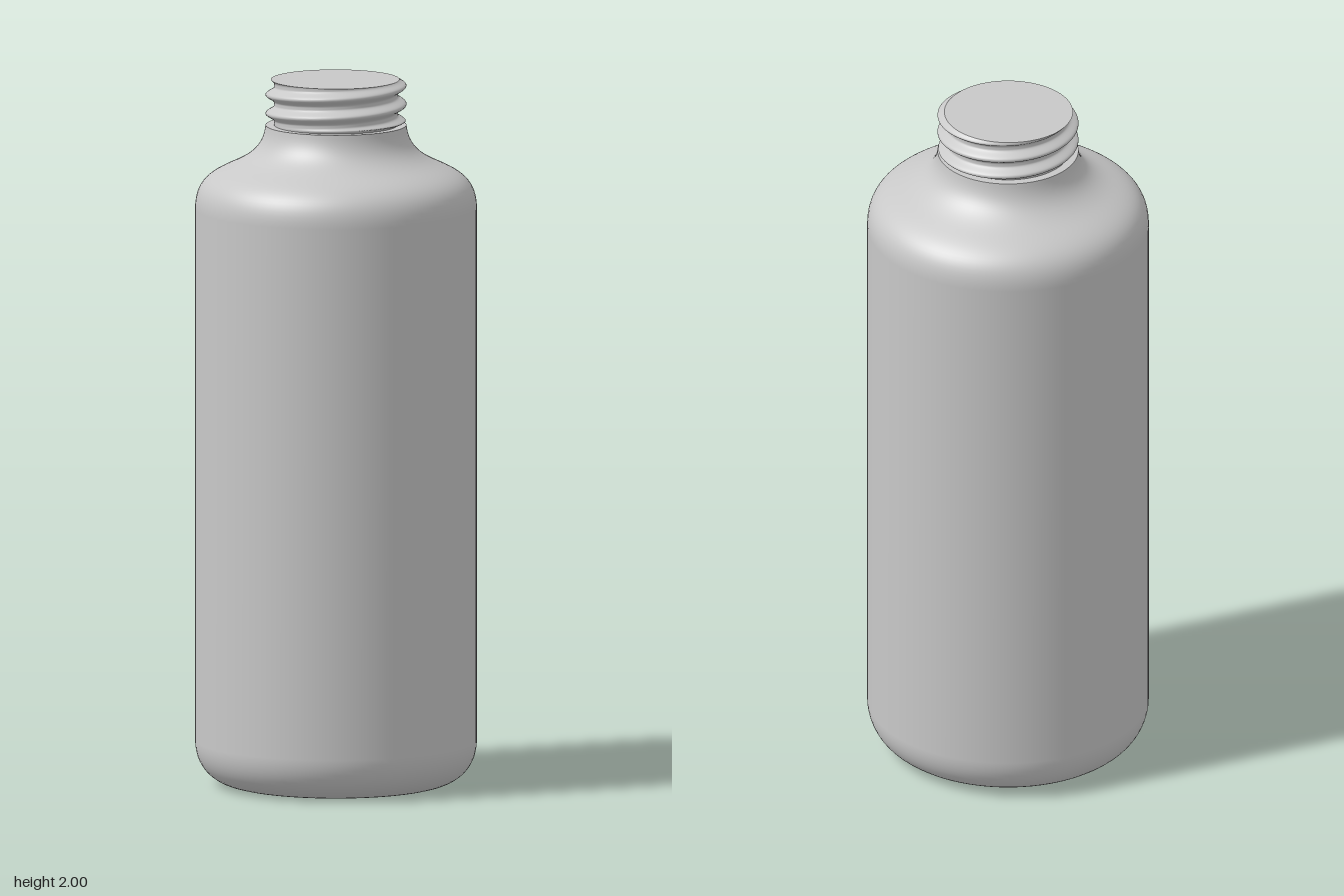
import * as THREE from 'three';

const V = (x, y) => new THREE.Vector2(x, y);
const TAU = Math.PI * 2;

// Radius of the screw thread at height y and angle a (counter-clockwise from above)
const THREAD_BASE = 1.872, PITCH = 0.053;
function threadRadius(y, a) {
  const phase = (y - 1.952) / PITCH - (a - Math.PI) / TAU;
  const t = Math.abs(phase - Math.round(phase)) * 2;       // 0 at crest, 1 at root
  const ridge = 1 - THREE.MathUtils.smoothstep(t, 0.05, 0.85);
  const fadeIn = THREE.MathUtils.smoothstep(y, THREAD_BASE, THREAD_BASE + 0.012);
  const fadeOut = 1 - 0.35 * THREE.MathUtils.smoothstep(y, 1.985, 2);
  return 0.174 + 0.024 * ridge * fadeIn * fadeOut;
}

// Helical wall as a closed grid, wrapped round so the normals are seamless
function threadGeometry(around = 96, up = 52) {
  const pos = [], idx = [];
  for (let j = 0; j <= up; j++) {
    const y = THREAD_BASE + (2 - THREAD_BASE) * j / up;
    for (let i = 0; i < around; i++) {
      const a = i / around * TAU, r = threadRadius(y, a);
      pos.push(r * Math.cos(a), y, -r * Math.sin(a));
      if (j < up) {
        const p = j * around + i, q = j * around + (i + 1) % around;
        idx.push(p, q, q + around, p, q + around, p + around);
      }
    }
  }
  const g = new THREE.BufferGeometry();
  g.setAttribute('position', new THREE.Float32BufferAttribute(pos, 3));
  g.setIndex(idx);
  g.computeVertexNormals();
  return g;
}

export function createModel() {
  const group = new THREE.Group();
  const grey = new THREE.MeshStandardMaterial({ color: 0xc8c8c8 });
  grey.name = 'light grey';
  const add = (name, geometry) => {
    const m = new THREE.Mesh(geometry, grey);
    m.name = name;
    group.add(m);
    return m;
  };

  // Body: rounded foot, straight wall, S-shaped shoulder up to the neck
  const foot = new THREE.CubicBezierCurve(V(0.272, 0), V(0.345, 0), V(0.396, 0.05), V(0.396, 0.125));
  const shoulder = new THREE.CubicBezierCurve(V(0.396, 1.635), V(0.396, 1.715), V(0.35, 1.735), V(0.295, 1.76));
  const neck = new THREE.CubicBezierCurve(V(0.295, 1.76), V(0.235, 1.787), V(0.204, 1.815), V(0.198, 1.872));
  const profile = [
    ...foot.getPoints(14),
    ...shoulder.getPoints(14),
    ...neck.getPoints(14).slice(1),
  ];
  add('body', new THREE.LatheGeometry(profile, 96));

  // Flat underside
  add('base', new THREE.CircleGeometry(0.272, 96).rotateX(Math.PI / 2));

  // Ledge where the neck meets the thread
  add('neckLedge', new THREE.RingGeometry(0.172, 0.198, 96).rotateX(-Math.PI / 2)).position.y = THREAD_BASE;

  // Screw thread and the flat top that closes it
  add('screwThread', threadGeometry());
  const rim = Array.from({ length: 96 }, (_, i) => {
    const a = i / 96 * TAU, r = threadRadius(2, a);
    return V(r * Math.cos(a), r * Math.sin(a));
  });
  add('mouthTop', new THREE.ShapeGeometry(new THREE.Shape(rim)).rotateX(-Math.PI / 2)).position.y = 2;

  return group;
}
